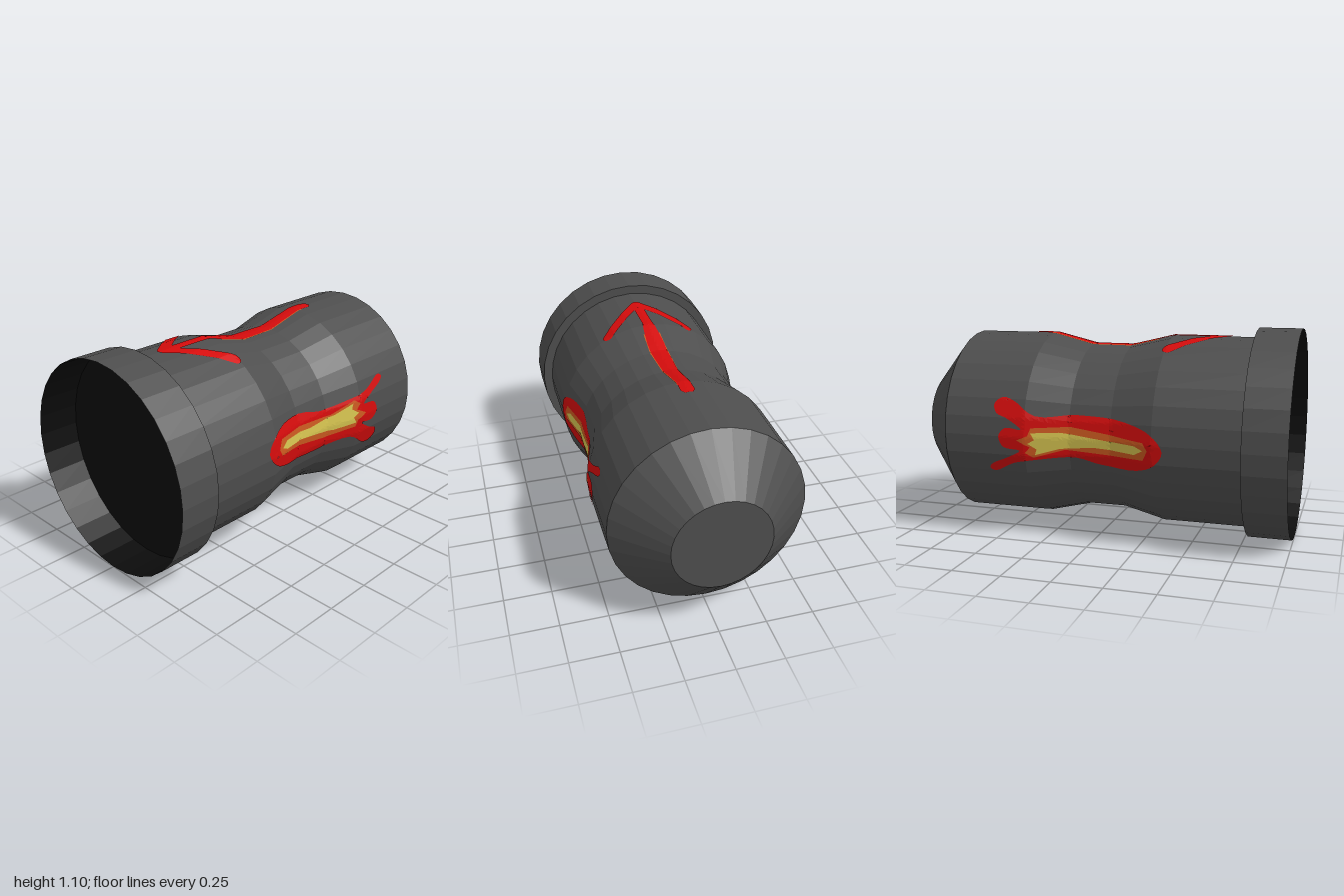
import * as THREE from 'three';

const SIDES = 32, AXIS_Y = 0.55;
const mat = (name, color) => { const m = new THREE.MeshStandardMaterial({ color }); m.name = name; return m; };

// Body profile as [radius, z], back to front
const PROFILE = [[0, -1], [0.25, -1], [0.5, -0.78], [0.5, -0.335], [0.445, -0.11],
  [0.445, 0.11], [0.5, 0.335], [0.5, 0.78], [0.55, 0.78], [0.55, 1]];
const CUP = [[0.55, 1], [0.548, 0.785], [0.5, 0.784], [0, 0.784]];

function flat(geometry) {
  const g = geometry.index ? geometry.toNonIndexed() : geometry;
  g.computeVertexNormals();
  return g;
}

// Faceted solid of revolution lying along z
function turned(name, points, material) {
  const g = new THREE.LatheGeometry(points.map(p => new THREE.Vector2(...p)), SIDES);
  g.rotateX(Math.PI / 2);
  const mesh = new THREE.Mesh(flat(g), material);
  mesh.name = name;
  return mesh;
}

// Body radius at z, between the two shoulders
function radiusAt(z) {
  const p = PROFILE.slice(2, 8);
  const i = p.findIndex(([, end], k) => k > 0 && z <= end);
  return THREE.MathUtils.mapLinear(z, p[i - 1][1], p[i][1], p[i - 1][0], p[i][0]);
}

// Height of the faceted body above its axis at sideways offset t
function heightAt(t, z) {
  const r = radiusAt(z), d = 2 * Math.PI / SIDES, k = Math.floor(Math.asin(Math.abs(t) / r) / d);
  return THREE.MathUtils.mapLinear(Math.abs(t), r * Math.sin(k * d), r * Math.sin((k + 1) * d),
    r * Math.cos(k * d), r * Math.cos((k + 1) * d));
}

// Paint: a flat shape in (t, z), finely split and wrapped onto the top of the body
function paint(name, shape, material, lift) {
  const src = new THREE.ShapeGeometry(shape, 8), pos = src.attributes.position, out = [];
  const split = (a, b, c) => {
    const ab = a.distanceTo(b), bc = b.distanceTo(c), ca = c.distanceTo(a), longest = Math.max(ab, bc, ca);
    if (longest <= 0.025) {
      for (const v of [a, c, b]) out.push(v.x, heightAt(v.x, v.y) + lift, v.y);
      return;
    }
    // Turn the triangle so that its longest edge runs from p to q, then halve that edge
    const [p, q, r] = longest === ab ? [a, b, c] : longest === bc ? [b, c, a] : [c, a, b];
    const mid = p.clone().add(q).multiplyScalar(0.5);
    split(p, mid, r);
    split(mid, q, r);
  };
  const at = i => new THREE.Vector2(pos.getX(i), pos.getY(i));
  for (let i = 0; i < src.index.count; i += 3) {
    split(...[0, 1, 2].map(j => at(src.index.getX(i + j))));
  }
  const g = new THREE.BufferGeometry();
  g.setAttribute('position', new THREE.Float32BufferAttribute(out, 3));
  const mesh = new THREE.Mesh(flat(g), material);
  mesh.name = name;
  return mesh;
}

const polygon = pts => new THREE.Shape(pts.map(p => new THREE.Vector2(...p)));

// Rounded brush stroke from a to b
function stroke(ax, az, bx, bz, w) {
  const s = new THREE.Shape(), ang = Math.atan2(bz - az, bx - ax);
  s.absarc(bx, bz, w, ang - Math.PI / 2, ang + Math.PI / 2);
  s.absarc(ax, az, w, ang + Math.PI / 2, ang + Math.PI * 1.5);
  return s;
}

// Symmetric strip along z from [halfWidth, z] pairs
const strip = pts => polygon([...pts, ...pts.map(([w, z]) => [-w, z]).reverse()]);

// Flame outlines as [z, y]
const FLAME_RED = [[0.39, 0.58], [0.35, 0.65], [0.25, 0.69], [0.06, 0.68], [-0.07, 0.65], [-0.26, 0.665],
  [-0.40, 0.69], [-0.51, 0.74], [-0.54, 0.725], [-0.52, 0.70], [-0.43, 0.66], [-0.36, 0.62], [-0.45, 0.605],
  [-0.475, 0.55], [-0.44, 0.505], [-0.35, 0.51], [-0.43, 0.455], [-0.49, 0.43], [-0.505, 0.385],
  [-0.46, 0.35], [-0.39, 0.37], [-0.28, 0.44], [-0.07, 0.43], [0.19, 0.45], [0.33, 0.50]];
const FLAME_ORANGE = [[0.315, 0.58], [0.29, 0.63], [0.11, 0.625], [-0.13, 0.61], [-0.29, 0.655], [-0.33, 0.63],
  [-0.305, 0.6], [-0.375, 0.565], [-0.315, 0.54], [-0.30, 0.5], [-0.1, 0.49], [0.19, 0.53], [0.29, 0.54]];
const FLAME_YELLOW = [[0.29, 0.58], [0.245, 0.605], [0.03, 0.59], [-0.155, 0.605], [-0.28, 0.64], [-0.27, 0.61],
  [-0.315, 0.58], [-0.28, 0.56], [-0.30, 0.525], [-0.155, 0.52], [0.085, 0.55], [0.245, 0.56]];

export function createModel() {
  const grey = mat('dark grey shell', 0x4e4e4e), black = mat('black cup', 0x0c0c0c);
  const red = mat('red paint', 0xd40c0c), orange = mat('orange paint', 0xcc5a20), yellow = mat('yellow paint', 0xd6c450);
  const model = new THREE.Group();
  model.name = 'capsule';

  // Shell with waist, tapered back and front collar; hollow black front
  model.add(turned('shell', PROFILE, grey), turned('frontCup', CUP, black));

  // Arrow on top, pointing forward
  const arrow = new THREE.Group();
  arrow.name = 'topArrow';
  arrow.add(
    paint('arrowGlow', strip([[0.036, -0.36], [0.042, -0.1], [0.05, 0.1], [0.046, 0.26]]), orange, 0.003),
    paint('arrowShaft', strip([[0.02, -0.445], [0.036, -0.42], [0.034, -0.33], [0.036, -0.2], [0.044, 0.02],
      [0.046, 0.18], [0.036, 0.3], [0.028, 0.36], [0.028, 0.6]]), red, 0.005));
  for (const s of [-1, 1]) arrow.add(paint('arrowBarb', stroke(0, 0.615, s * 0.225, 0.35, 0.03), red, 0.005));
  model.add(arrow);

  // Flames on both sides, one half a turn about the axis from the other
  for (const s of [-1, 1]) {
    const flame = new THREE.Group();
    flame.name = s < 0 ? 'leftFlame' : 'rightFlame';
    const local = pts => pts.map(([z, y]) => [AXIS_Y - y, z]);
    const smooth = new THREE.CatmullRomCurve3(local(FLAME_RED).map(p => new THREE.Vector3(...p, 0)), true);
    const outline = smooth.getPoints(100).slice(0, -1).map(p => [p.x, p.y]);
    flame.add(
      paint('flameOuter', polygon(outline), red, 0.004),
      paint('flameMiddle', polygon(local(FLAME_ORANGE)), orange, 0.0065),
      paint('flameCore', polygon(local(FLAME_YELLOW)), yellow, 0.009));
    flame.rotation.z = s * Math.PI / 2;
    model.add(flame);
  }

  for (const part of model.children) part.position.y = AXIS_Y;
  return model;
}
